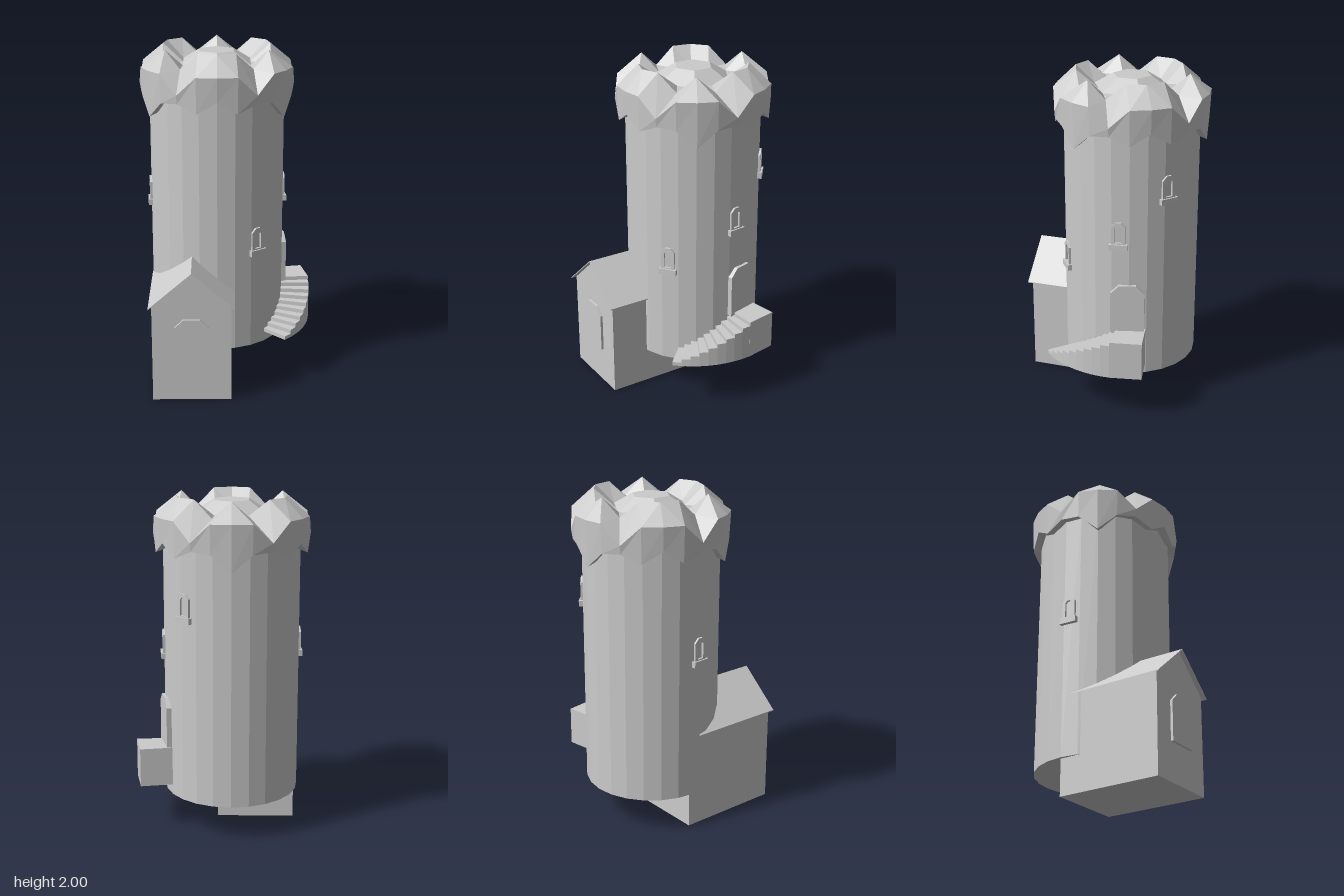
import * as THREE from 'three';

const CX = -0.062, CZ = -0.095, R = 0.402; // tower axis and radius
const mat = new THREE.MeshStandardMaterial({ color: 0xcccccc, flatShading: true, side: THREE.DoubleSide });
const rad = THREE.MathUtils.degToRad;

function mesh(name, geometry, parent) {
  const m = new THREE.Mesh(geometry, mat);
  m.name = name;
  parent.add(m);
  return m;
}

// Point around the tower axis; 0 degrees faces the front, 90 faces +x
function polar(r, deg, y = 0) {
  return new THREE.Vector3(CX + r * Math.sin(rad(deg)), y, CZ + r * Math.cos(rad(deg)));
}

function shapeOf(points) {
  return new THREE.Shape(points.map(([x, y]) => new THREE.Vector2(x, y)));
}

function extrude(shape, depth) {
  return new THREE.ExtrudeGeometry(shape, { depth, bevelEnabled: false });
}

// Vertical prism over a ground outline
function prism(outline, y0, y1) {
  const g = extrude(shapeOf(outline.map(p => [p.x, -p.z])), y1 - y0);
  return g.rotateX(-Math.PI / 2).translate(0, y0, 0);
}

// Opening outline with a cut-corner top, standing on y = 0
function archPoints(w, h, cut) {
  const a = w / 2;
  return [[-a, 0], [a, 0], [a, h - cut], [a - cut, h], [-a + cut, h], [-a, h - cut]];
}

// Group set on the tower wall, its own +z pointing outwards
function wallGroup(name, deg, y, parent) {
  const g = new THREE.Group();
  g.name = name;
  g.position.copy(polar(0.388, deg, y));
  g.rotation.y = rad(deg);
  parent.add(g);
  return g;
}

function addWindow(deg, y, parent) {
  const g = wallGroup('window', deg, y, parent);
  const frame = shapeOf(archPoints(0.085, 0.14, 0.026));
  frame.holes.push(new THREE.Path(archPoints(0.042, 0.105, 0.014)
    .map(([x, py]) => new THREE.Vector2(x, py + 0.014))));
  mesh('windowFrame', extrude(frame, 0.024).translate(0, 0.03, 0), g);
  mesh('windowSill', new THREE.BoxGeometry(0.108, 0.036, 0.034).translate(0, 0.018, 0.017), g);
}

// Crown lattice: three 4 x 4 rhombic patches meeting at the axis
function crownVertex(axis, i, j) {
  const n = Math.max(i, j), m = Math.min(i, j);
  if (n === 0) return polar(0, 0, 1.97);
  const a = i >= j ? 60 * j / n : 120 - 60 * i / n;
  const start = a <= 60 ? 0 : 60, r = 0.115 * n;
  const hex = polar(r, axis + start).lerp(polar(r, axis + start + 60), (a - start) / 60);
  const p = hex.lerp(polar(r, axis + a), [0, 0, 0, 0.5, 1][n]);
  if (n === 4) p.y = m === 2 ? 1.78 : 1.89;
  else if (n === 3) p.y = m === 2 ? 1.9 : 2;
  else p.y = n === 2 ? 1.9 : 1.97;
  return p;
}

function crownGeometry() {
  const pos = [];
  const quad = (a, b, c, d) => [a, b, c, a, c, d].forEach(p => pos.push(p.x, p.y, p.z));
  const hem = [1.75, 1.68, 1.73, 1.72, 1.62];
  for (const axis of [0, 120, 240]) {
    const v = (i, j) => crownVertex(axis, i, j);
    for (let i = 0; i < 4; i++)
      for (let j = 0; j < 4; j++) quad(v(i, j), v(i + 1, j), v(i + 1, j + 1), v(i, j + 1));
    // Jagged skirt and its underside
    for (let k = 0; k < 8; k++) {
      const ring = [k, k + 1].map(s => {
        const m = s <= 4 ? s : 8 - s, deg = axis + s * 15;
        return {
          top: s <= 4 ? v(4, s) : v(8 - s, 4),
          low: polar(0.452, deg, hem[m]),
          inner: polar(0.39, deg, Math.min(hem[m] + 0.02, 1.74)),
        };
      });
      const [p, q] = ring;
      quad(p.low, q.low, q.top, p.top);
      quad(p.inner, q.inner, q.low, p.low);
    }
  }
  const g = new THREE.BufferGeometry();
  g.setAttribute('position', new THREE.Float32BufferAttribute(pos, 3));
  g.computeVertexNormals();
  return g;
}

export function createModel() {
  const model = new THREE.Group();
  model.name = 'tower';

  // Round wall and ragged crown
  mesh('towerWall', new THREE.CylinderGeometry(R, R, 1.54, 24).translate(CX, 0.99, CZ), model);
  mesh('crown', crownGeometry(), model);

  // Gabled annex
  const house = new THREE.Group();
  house.name = 'annex';
  house.position.x = -0.2125;
  model.add(house);
  const body = shapeOf([[-0.232, 0], [0.232, 0], [0.232, 0.595], [0, 0.797], [-0.232, 0.595]]);
  mesh('annexWalls', extrude(body, 0.64).translate(0, 0, -0.11), house);
  const roof = shapeOf([[-0.252, 0.582], [0, 0.8], [0.252, 0.582], [0.252, 0.588], [0, 0.806], [-0.252, 0.588]]);
  mesh('annexRoof', extrude(roof, 0.6).translate(0, 0, -0.045), house);
  mesh('annexDoor', extrude(shapeOf(archPoints(0.2, 0.285, 0.05)), 0.03).translate(0, 0.23, 0.515), house);

  // Curved stairs rising to a landing
  const stairs = new THREE.Group();
  stairs.name = 'stairs';
  model.add(stairs);
  const steps = 9, sweep = 49 / steps;
  for (let s = 0; s < steps; s++) {
    const a = 45 + s * sweep, b = a + sweep;
    const outline = [polar(0.385, a), polar(0.575, a), polar(0.575, b), polar(0.385, b)];
    mesh('step', prism(outline, 0.28, 0.303 + s * 0.0235), stairs);
  }
  const landing = [polar(0.37, 94), polar(0.576, 94), polar(0.587, 113), polar(0.37, 121)];
  mesh('landing', prism(landing, 0.28, 0.515), stairs);

  // Tower door above the landing
  const door = wallGroup('towerDoor', 103.7, 0.5, model);
  mesh('doorPanel', extrude(shapeOf(archPoints(0.2, 0.31, 0.05)), 0.03), door);

  // Windows: angle around the tower and sill height
  for (const [deg, y] of [[36, 0.8], [96, 1.035], [138, 1.305], [275, 1.035]]) addWindow(deg, y, model);

  return model;
}
